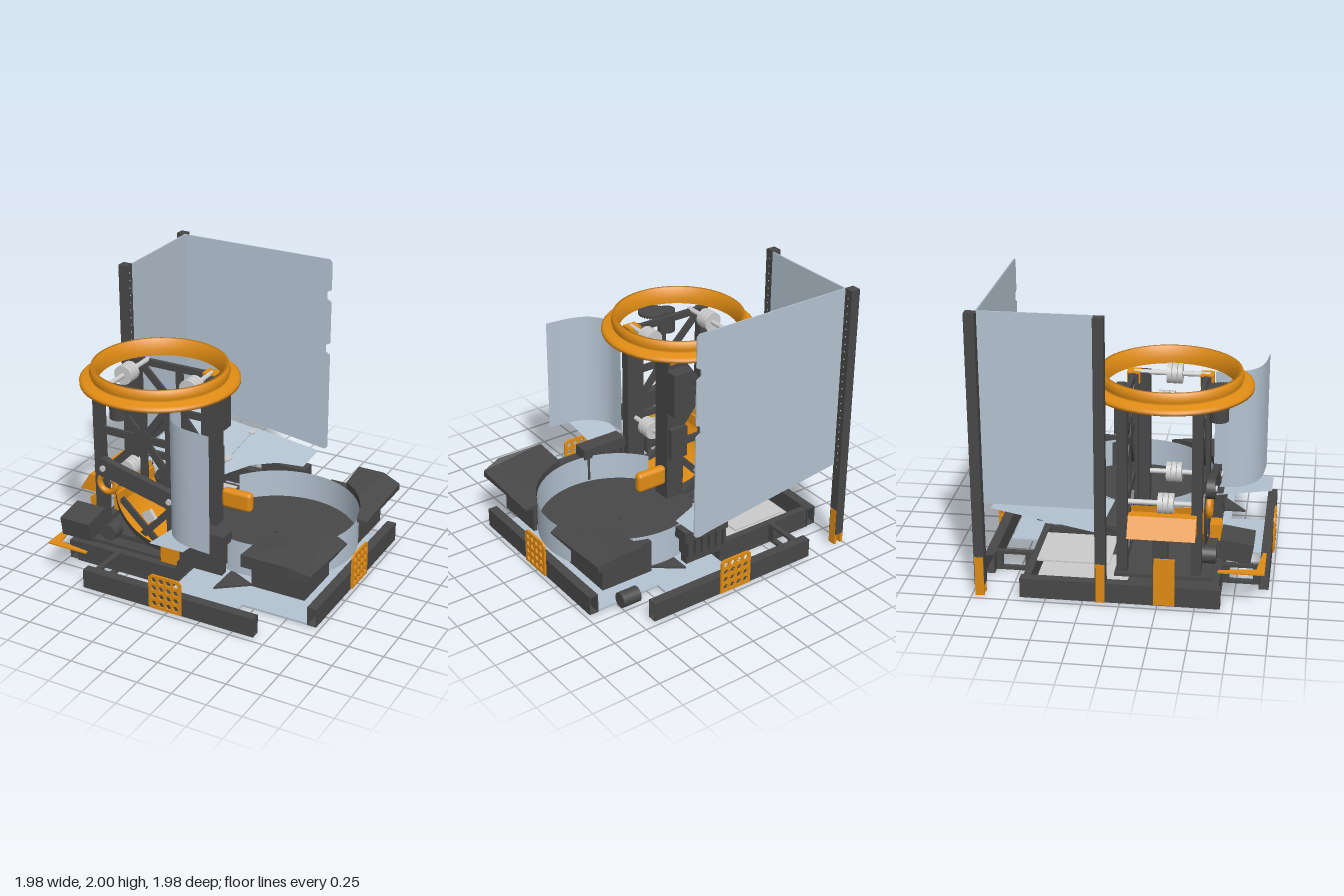
import * as THREE from 'three';
import { RoundedBoxGeometry } from 'three/addons/geometries/RoundedBoxGeometry.js';

const mat = (color) => new THREE.MeshStandardMaterial({ color, side: THREE.DoubleSide });
const vecs = (pts) => pts.map((p) => new THREE.Vector2(...p));

export function createModel() {
  const model = new THREE.Group();
  const dark = mat(0x484848), orange = mat(0xe08c14), sheet = mat(0xb4c3d1), grey = mat(0xcccccc);

  const add = (name, geo, m) => {
    const mesh = new THREE.Mesh(geo, m);
    mesh.name = name;
    model.add(mesh);
    return mesh;
  };
  // box from its min and max corners
  const box = (name, m, x0, x1, y0, y1, z0, z1) => {
    const b = add(name, new THREE.BoxGeometry(x1 - x0, y1 - y0, z1 - z0), m);
    b.position.set((x0 + x1) / 2, (y0 + y1) / 2, (z0 + z1) / 2);
    return b;
  };
  // cylinder centred at p along an axis
  const cyl = (name, m, p, r, len, axis = 'y', seg = 24) => {
    const g = new THREE.CylinderGeometry(r, r, len, seg);
    if (axis === 'z') g.rotateX(Math.PI / 2);
    if (axis === 'x') g.rotateZ(Math.PI / 2);
    const c = add(name, g, m);
    c.position.set(...p);
    return c;
  };
  // flat bar in the xy plane between two points
  const bar = (name, m, a, b, width, z, depth) => {
    const dx = b[0] - a[0], dy = b[1] - a[1];
    const s = add(name, new THREE.BoxGeometry(Math.hypot(dx, dy), width, depth), m);
    s.position.set((a[0] + b[0]) / 2, (a[1] + b[1]) / 2, z);
    s.rotation.z = Math.atan2(dy, dx);
    return s;
  };
  // outline in the xy plane extruded from z0 to z1
  const profile = (name, m, pts, z0, z1, holes = []) => {
    const shape = new THREE.Shape(vecs(pts));
    holes.forEach((h) => shape.holes.push(new THREE.Path(vecs(h))));
    const p = add(name, new THREE.ExtrudeGeometry(shape, { depth: z1 - z0, bevelEnabled: false }), m);
    p.position.z = z0;
    return p;
  };
  // plan outline of [x, z] points raised from y0 to y1
  const planPath = (pts) => vecs(pts.map(([x, z]) => [x, -z]));
  const slab = (name, m, pts, y0, y1, holes = []) => {
    const shape = new THREE.Shape(planPath(pts));
    holes.forEach((h) => shape.holes.push(new THREE.Path(planPath(h))));
    const g = new THREE.ExtrudeGeometry(shape, { depth: y1 - y0, bevelEnabled: false });
    g.rotateX(-Math.PI / 2).translate(0, y0, 0);
    return add(name, g, m);
  };
  const circle = (x, z, r, n) => Array.from({ length: n }, (_, i) => {
    const a = (i / n) * Math.PI * 2;
    return [x + r * Math.cos(a), z + r * Math.sin(a)];
  });
  // thin sheet fanned from its first corner
  const fan = (name, ...c) => {
    const g = new THREE.BufferGeometry();
    g.setAttribute('position', new THREE.Float32BufferAttribute(c.flat(), 3));
    g.setIndex(c.slice(2).flatMap((_, i) => [0, i + 1, i + 2]));
    g.computeVertexNormals();
    return add(name, g, sheet);
  };
  // sheet swept over a curve, offset by a vector
  const swept = (name, m, pts, offset) => {
    const curve = new THREE.CatmullRomCurve3(pts.map((p) => new THREE.Vector3(...p)));
    const pos = [], idx = [];
    curve.getPoints(24).forEach((p, i) => {
      pos.push(p.x, p.y, p.z, p.x + offset[0], p.y + offset[1], p.z + offset[2]);
      if (i) idx.push(2 * i - 2, 2 * i, 2 * i - 1, 2 * i - 1, 2 * i, 2 * i + 1);
    });
    const g = new THREE.BufferGeometry();
    g.setAttribute('position', new THREE.Float32BufferAttribute(pos, 3));
    g.setIndex(idx);
    g.computeVertexNormals();
    return add(name, g, m);
  };

  // base plates, the dark one with a honeycomb of holes under a grey tray
  slab('floorPlate', sheet, [[-0.12, -0.9], [0.41, -0.9], [0.41, -0.65], [0.9, -0.65], [0.9, 0.65],
    [0.41, 0.65], [0.41, 0.9], [-0.12, 0.9]], 0.005, 0.02);
  const hexes = [];
  for (let i = 0; i < 4; i++) for (let j = 0; j < 4; j++)
    hexes.push(circle(-0.8 + i * 0.125, -0.54 + j * 0.145 + (i % 2) * 0.072, 0.066, 6));
  slab('honeycombPlate', dark, [[-0.92, -0.66], [-0.12, -0.66], [-0.12, 0.66], [-0.92, 0.66]], 0.005, 0.025, hexes);
  box('trayFloor', grey, -0.88, -0.33, 0.035, 0.045, -0.6, 0.02);
  box('tray', grey, -0.72, -0.3, 0.165, 0.175, -0.6, -0.1);

  // hollow outer rails, inner frame and the open brackets joining them
  const rect = (w, h) => [[-w, -h], [w, -h], [w, h], [-w, h]];
  const rail = (name, length) => {
    const r = profile(name, dark, rect(0.034, 0.07), -length / 2, length / 2, [rect(0.028, 0.064)]);
    r.geometry.translate(0, 0, -length / 2);
    r.position.set(0, 0.09, 0);
    return r;
  };
  for (const s of [-1, 1]) {
    const cross = rail('crossRail', 1.33);
    cross.rotation.y = Math.PI / 2;
    cross.position.z = s * 0.942;
    rail('sideRail', 1.34).position.x = s * 0.944;
    box('innerRail', dark, -0.91, -0.12, 0.025, 0.155, s * 0.63 - 0.025, s * 0.63 + 0.025);
    for (const y of [0.03, 0.15]) box('railBracket', dark, -0.6, -0.56, y - 0.01, y + 0.01, s * 0.78 - 0.13, s * 0.78 + 0.13);
    for (const z of [0.68, 0.89]) box('bracketWeb', dark, -0.6, -0.56, 0.03, 0.15, s * z - 0.025, s * z + 0.025);
  }
  cyl('frameMotor', dark, [0.7, 0.085, -0.72], 0.055, 0.14, 'x');
  box('innerCrossRail', dark, -0.17, -0.13, 0.025, 0.155, -0.63, 0.63);

  // perforated orange plates on the rails
  const plate = () => {
    const s = new THREE.Shape(vecs([[-0.125, 0.03], [0.125, 0.03], [0.125, 0.27], [0.1, 0.29], [-0.1, 0.29], [-0.125, 0.27]]));
    for (let i = 0; i < 4; i++) for (let j = 0; j < 4; j++)
      s.holes.push(new THREE.Path().absellipse(-0.084 + i * 0.056, 0.07 + j * 0.06, 0.021, 0.023, 0, Math.PI * 2));
    return new THREE.ExtrudeGeometry(s, { depth: 0.015, bevelEnabled: false, curveSegments: 3 });
  };
  for (const [x, z, a] of [[0, 0.977, 0], [0, -0.977, Math.PI], [0.979, 0, Math.PI / 2]]) {
    const p = add('perforatedPlate', plate(), orange);
    p.position.set(x, 0, z);
    p.rotation.y = a;
  }
  box('sidePlate', orange, -0.99, -0.979, 0.03, 0.37, 0.23, 0.37);
  slab('cornerGuard', orange, [[-0.96, 0.65], [-0.93, 0.65], [-0.89, 0.9], [-0.65, 0.93], [-0.65, 0.955], [-0.96, 0.955]], 0.278, 0.288);

  // round basin
  const CX = 0.33, CZ = -0.05, R = 0.57;
  slab('basinFloor', dark, circle(CX, CZ, R - 0.003, 64), 0.17, 0.21, [circle(0.31, -0.05, 0.015, 6)]);
  slab('basinChute', dark, [[-0.1, -0.45], [-0.27, -0.1], [-0.25, 0.05], [-0.08, 0.3], [0, 0]], 0.17, 0.2);
  const wall = add('basinWall', new THREE.CylinderGeometry(R, R, 0.25, 64, 1, true, -Math.PI * 0.32, Math.PI * 1.64), sheet);
  wall.position.set(CX, 0.295, CZ);

  // boxes and overhanging lids wrapped round the basin: corner outline plus arc
  const arcTo = (from, to, r) => Array.from({ length: 17 }, (_, i) => {
    const a = from + ((to - from) * i) / 16;
    return [CX + r * Math.cos(a), CZ + r * Math.sin(a)];
  });
  for (const [s, xIn, zBox, zLid] of [[1, 0.46, 0.61, 0.77], [-1, 0.62, 0.65, 0.78]]) {
    slab('basinTank', dark, [[0.46, s * zBox], [0.86, s * zBox], [0.86, s * 0.23], ...arcTo(s * 0.5, s * 1.34, 0.574)], 0.16, 0.4);
    const lid = slab('tankLid', dark, [[xIn, s * zLid], [0.82, s * zLid], [0.96, s * (zLid - 0.03)], [0.96, s * 0.17], [0.89, s * 0.15],
      ...arcTo(s * 0.36, s > 0 ? 1.34 : -1.02, 0.575)], 0.395, 0.485);
    // top falls towards the middle and the outer edge
    const p = lid.geometry.attributes.position;
    for (let i = 0; i < p.count; i++) if (p.getY(i) > 0.45)
      p.setY(i, p.getY(i) - Math.max(0, p.getX(i) - 0.82) * 0.3 - (0.78 - Math.abs(p.getZ(i))) * 0.06);
    lid.geometry.computeVertexNormals();
    slab('floorFin', dark, [[0.25, s * 0.52 - 0.02], [0.25, s * 0.76], [0.46, s * 0.6]], 0.155, 0.17);
    // ribbed block beside the basin
    const z0 = s > 0 ? 0.56 : -0.69, top = s > 0 ? 0.48 : 0.43;
    box('ribbedBlock', dark, -0.11, 0.25, top - 0.08, top, z0 - 0.06, z0 + 0.06);
    box('ribbedCore', dark, -0.09, 0.22, 0.16, top - 0.08, z0 - 0.03, z0 + 0.03);
    for (let i = 0; i < 6; i++) box('rib', dark, -0.1 + i * 0.06, -0.08 + i * 0.06, 0.22, top - 0.08, z0 - 0.055, z0 + 0.055);
  }

  // tall corner screen: sheets sit inside the posts, lower edge of the back one slopes
  for (const z of [-0.94, -0.125]) {
    box('screenPost', dark, -0.98, -0.912, 0.1, 2, z - 0.035, z + 0.035);
    for (const x of [-0.975, -0.92]) box('postFoot', orange, x - 0.01, x + 0.01, 0.02, 0.3, z - 0.03, z + 0.03);
    for (let i = 0; i < 24; i++) cyl('postHole', grey, [-0.911, 0.65 + i * 0.056, z], 0.005, 0.004, 'x', 6);
  }
  box('sideScreen', sheet, -0.917, -0.908, 0.67, 2, -0.905, -0.16);
  profile('backScreen', sheet, [[-0.91, 0.66], [0.28, 0.5], [0.3, 0.52], [0.3, 1.27], [0.265, 1.29], [0.265, 1.34], [0.3, 1.36],
    [0.3, 1.68], [0.265, 1.7], [0.265, 1.75], [0.3, 1.77], [0.3, 1.98], [0.28, 2], [-0.91, 2]], -0.912, -0.903);

  // sloping deck sheets with hinges, and the curved guard
  fan('outerDeck', [-0.88, 0.48, -0.15], [-0.285, 0.45, -0.12], [-0.285, 0.56, -0.86], [-0.88, 0.62, -0.87]);
  fan('innerDeck', [-0.28, 0.56, -0.87], [-0.28, 0.45, -0.12], [-0.19, 0.46, -0.3], [-0.09, 0.48, -0.44],
    [0.06, 0.48, -0.56], [0.24, 0.465, -0.62], [0.24, 0.48, -0.89]);
  for (const [y, z] of [[0.545, -0.82], [0.49, -0.42]]) box('hinge', grey, -0.305, -0.26, y, y + 0.012, z - 0.04, z + 0.04);
  fan('frontShelf', [-0.13, 0.45, 0.53], [0.13, 0.45, 0.53], [0.13, 0.51, 0.96], [-0.13, 0.51, 0.96]);
  swept('curvedGuard', sheet, [[-0.11, 0.51, 0.55], [-0.1, 0.51, 0.7], [-0.03, 0.51, 0.81], [0.08, 0.51, 0.87], [0.3, 0.51, 0.9]], [0, 0.86, 0]);

  // tower: posts and spoked panels
  for (const z of [0, 0.495]) {
    box('towerPost', dark, -0.83, -0.765, 0.17, 1.37, z - 0.035, z + 0.035);
    box('towerPost', dark, -0.25, -0.11, 0.17, 1.37, z - 0.035, z + 0.035);
    const c = [-0.44, 1.01];
    for (const y of [1.35, 0.63, 0.19]) bar('panelRail', dark, [-0.8, y], [-0.15, y], 0.05, z, 0.03);
    for (const e of [[-0.77, 1.01], [-0.25, 1.01], [-0.44, 1.35], [-0.44, 0.63], [-0.77, 1.34], [-0.23, 1.3], [-0.77, 0.68], [-0.23, 0.75]])
      bar('panelSpoke', dark, c, e, 0.055, z, 0.02);
    cyl('panelHub', dark, [...c, z], 0.07, 0.03, 'z');
    bar('lowerBrace', dark, [-0.64, 0.5], [-0.3, 0.18], 0.05, z, 0.02);
    bar('lowerBrace', dark, [-0.24, 0.5], [-0.52, 0.2], 0.05, z, 0.02);
  }
  box('towerBlock', dark, -0.2, -0.11, 0.17, 1.37, 0.035, 0.11);
  box('controlBox', dark, -0.26, -0.1, 0.93, 1.26, -0.13, -0.035);
  box('controlBox', dark, -0.26, -0.12, 0.55, 0.79, -0.07, -0.035);

  // shafts with triple grey rollers
  for (const x of [-0.7, -0.18]) for (const y of [0.64, 1.37]) {
    cyl('rollerShaft', grey, [x, y, 0.26], 0.018, 0.52, 'z', 12);
    for (const d of [-0.037, 0, 0.037]) cyl('roller', grey, [x, y, 0.28 + d], 0.07, 0.032, 'z');
  }

  // orange ring: stepped profile turned on a lathe
  const ring = add('topRing', new THREE.LatheGeometry(vecs([[0.43, 1.375], [0.555, 1.375], [0.555, 1.395], [0.535, 1.41], [0.478, 1.415],
    [0.475, 1.43], [0.485, 1.45], [0.475, 1.495], [0.45, 1.495], [0.43, 1.42], [0.43, 1.375]]), 48), orange);
  ring.position.set(-0.43, 0, 0.277);
  for (const z of [0, 0.5]) box('ringBracket', orange, -0.23, -0.13, 1.3, 1.38, z - 0.045, z + 0.045);

  // ring drive motor and gear
  cyl('ringMotor', dark, [-0.56, 1.28, 0.61], 0.065, 0.17);
  cyl('ringGear', dark, [-0.44, 1.37, 0.62], 0.095, 0.02, 'y', 32);
  for (let i = 0; i < 32; i++) {
    const a = (i / 32) * Math.PI * 2;
    const t = box('gearTooth', dark, -0.008, 0.008, 1.36, 1.38, -0.005, 0.005);
    t.position.set(-0.44 + 0.097 * Math.cos(a), 1.37, 0.62 + 0.097 * Math.sin(a));
    t.rotation.y = -a;
  }

  // lever arm with its orange pulley
  bar('leverArm', dark, [-0.71, 0.77], [-0.18, 0.64], 0.13, 0.58, 0.05);
  for (const p of [[-0.71, 0.77], [-0.18, 0.64]]) {
    cyl('leverEnd', dark, [...p, 0.58], 0.07, 0.055, 'z');
    cyl('leverBolt', grey, [...p, 0.61], 0.022, 0.02, 'z', 12);
  }
  const pulley = add('pulley', new THREE.TorusGeometry(0.065, 0.022, 8, 32), orange);
  pulley.position.set(-0.7, 0.64, 0.57);

  // curved orange scoop between dark edge strips
  const curve = [[-0.67, 0.6, 0.04], [-0.64, 0.45, 0.04], [-0.55, 0.32, 0.04], [-0.42, 0.24, 0.04], [-0.2, 0.2, 0.04]];
  swept('scoop', orange, curve, [0, 0, 0.49]);
  for (const z of [0.03, 0.53]) swept('scoopEdge', dark, curve.map((p) => [p[0], p[1] - 0.03, z]), [0.01, 0.05, 0.015]);
  box('scoopBack', orange, -0.68, -0.645, 0.42, 0.55, 0.04, 0.53);
  box('clip', grey, -0.42, -0.34, 0.41, 0.49, 0.53, 0.56).rotation.z = 0.6;

  // smaller fittings
  profile('sideBracket', orange, [[-0.98, 0.5], [-0.835, 0.5], [-0.845, 0.63], [-0.9, 0.63]], 0.05, 0.5);
  box('bracketLeg', dark, -0.97, -0.91, 0.16, 0.5, 0.22, 0.32);
  box('motorBox', dark, -0.9, -0.67, 0.34, 0.48, 0.65, 0.87).rotation.x = 0.15;
  cyl('driveMotor', dark, [-0.68, 0.27, 0.57], 0.06, 0.1, 'z');
  box('motorShelf', dark, -0.85, -0.13, 0.155, 0.18, -0.05, 0.6);
  box('footBracket', orange, -0.25, -0.13, 0.16, 0.28, 0.54, 0.62);
  const paddle = add('paddle', new RoundedBoxGeometry(0.24, 0.15, 0.07, 3, 0.03), orange);
  paddle.position.set(0.02, 0.42, -0.01);
  return model;
}
